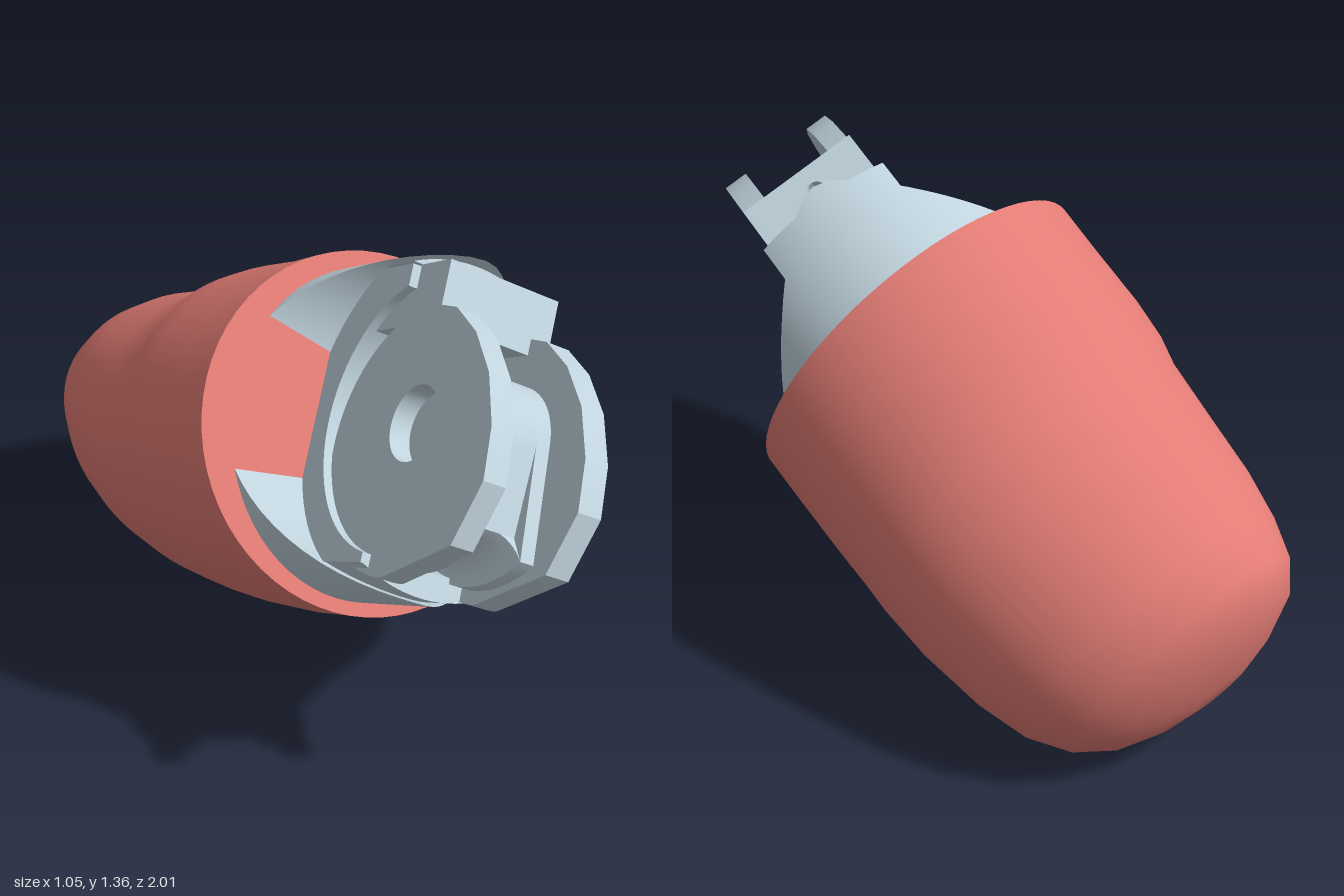
import * as THREE from 'three';
import { toCreasedNormals } from 'three/addons/utils/BufferGeometryUtils.js';

const red = new THREE.MeshStandardMaterial({ color: 0xe27c75 });
red.name = 'coral shell';
const grey = new THREE.MeshStandardMaterial({ color: 0xc0d3dd, side: THREE.DoubleSide });
grey.name = 'pale blue grey';

const X = new THREE.Vector3(1, 0, 0), Y = new THREE.Vector3(0, 1, 0), Z = new THREE.Vector3(0, 0, 1);
const basis = (a, b, c) => new THREE.Matrix4().makeBasis(a, b, c);

function add(parent, name, geometry, material) {
  const mesh = new THREE.Mesh(geometry, material);
  mesh.name = name;
  parent.add(mesh);
  return mesh;
}

// Skin a list of closed rings, each an array of [x, y, z]
function loft(rings) {
  const n = rings[0].length, index = [];
  for (let i = 0; i < rings.length - 1; i++) {
    for (let j = 0; j < n; j++) {
      const a = i * n + j, b = i * n + (j + 1) % n;
      index.push(a, a + n, b, b, a + n, b + n);
    }
  }
  const geo = new THREE.BufferGeometry();
  geo.setAttribute('position', new THREE.Float32BufferAttribute(rings.flat(2), 3));
  geo.setIndex(index);
  geo.computeVertexNormals();
  return geo;
}

// Extrude a (height, forward) outline across the hinge axis
function across(shape, from, to) {
  const geo = new THREE.ExtrudeGeometry(shape, { depth: to - from, bevelEnabled: false, curveSegments: 32 });
  geo.translate(0, 0, from);
  geo.applyMatrix4(basis(Y, Z, X));
  return toCreasedNormals(geo, 0.4);
}

function hole(shape, x, y, r) {
  shape.holes.push(new THREE.Path().absarc(x, y, r, 0, Math.PI * 2, true));
  return shape;
}

// Fingertip shell: depth, left, right, top, bottom, lean
const sections = [
  [0, -0.53, 0.505, 0.497, -0.494, -0.1],
  [0.15, -0.52, 0.51, 0.487, -0.496, -0.1],
  [0.34, -0.5, 0.52, 0.485, -0.49, -0.1],
  [0.46, -0.48, 0.525, 0.475, -0.48, -0.1],
  [0.54, -0.46, 0.525, 0.45, -0.475, -0.11],
  [0.7, -0.43, 0.525, 0.436, -0.452, -0.12],
  [0.9, -0.375, 0.51, 0.437, -0.408, -0.13],
  [1.04, -0.32, 0.475, 0.421, -0.36, -0.16],
  [1.145, -0.26, 0.41, 0.381, -0.287, -0.24],
  [1.21, -0.2, 0.32, 0.318, -0.22, -0.3],
  [1.25, -0.13, 0.21, 0.19, -0.14, -0.3],
  [1.268, -0.06, 0.1, 0.08, -0.06, -0.3],
  [1.27, 0.01, 0.01, 0.02, 0.02, 0],
];

function sectionRing([s, left, right, top, bottom, lean], count = 64) {
  return Array.from({ length: count }, (_, j) => {
    const t = j / count * Math.PI * 2;
    return [
      (left + right) / 2 + (right - left) / 2 * Math.cos(t - lean),
      (top + bottom) / 2 + (top - bottom) / 2 * Math.sin(t), -s];
  });
}

export function createModel() {
  const model = new THREE.Group();
  model.name = 'fingertipJoint';
  const finger = new THREE.Group();
  finger.name = 'finger';
  finger.position.set(0, 0.79, 0.225);
  finger.rotation.x = -0.47;
  model.add(finger);

  add(finger, 'fingertipShell', loft(sections.map((s) => sectionRing(s))), red);
  const rim = new THREE.Shape(sectionRing(sections[0]).map(([x, y]) => new THREE.Vector2(x, y)));
  add(finger, 'rimFace', new THREE.ShapeGeometry(rim), red);

  // Core: x along the hinge axis, y across, z forward
  const core = new THREE.Group();
  core.name = 'hingeCore';
  core.rotation.order = 'ZYX';
  core.rotation.set(0, -0.07, -0.64);
  core.position.set(0, -0.01, 0);
  finger.add(core);
  const pivot = 0.432, drop = -0.035;

  // Crescent collars left by the round clearance cut
  const collar = [];
  for (let i = 0; i <= 14; i++) {
    const q = 0.13 + 0.31 * Math.sin(i / 14 * Math.PI / 2);
    const p = Math.sqrt(Math.max(0, 0.44 ** 2 - q * q));
    const h = 0.427 - Math.sqrt(0.446 ** 2 - q * q);
    collar.push([[-p, q, -0.05], [p, q, -0.05], [p, q, h], [-p, q, h]]);
  }
  for (const turn of [0, Math.PI]) {
    const mesh = add(core, 'collar', toCreasedNormals(loft(collar), 0.6), grey);
    mesh.rotation.z = turn;
    mesh.position.x = -0.018;
  }

  // U-shaped yoke around the hinge
  const r = 0.35, mid = -0.015, topW = 0.32, lowW = 0.37;
  const yoke = new THREE.Shape();
  yoke.moveTo(-0.385, -0.03);
  yoke.lineTo(0.375, -0.03);
  yoke.lineTo(0.375, topW);
  yoke.absarc(mid, pivot, r, Math.asin((topW - pivot) / r), -Math.PI - Math.asin((lowW - pivot) / r), true);
  yoke.lineTo(-0.385, lowW);
  add(core, 'yoke', across(yoke, -0.205, 0.185), grey);

  // Rounded outer faces of the yoke, following the bore
  const half = Math.asin(0.195 / 0.428);
  for (const [turn, reach] of [[0, topW], [Math.PI, lowW]]) {
    const bow = new THREE.Shape().absarc(0, 0, 0.428, Math.PI / 2 - half, Math.PI / 2 + half, false);
    const geo = new THREE.ExtrudeGeometry(bow, { depth: reach, bevelEnabled: false, curveSegments: 16 });
    const mesh = add(core, 'yokeBow', toCreasedNormals(geo, 0.4), grey);
    mesh.rotation.z = turn;
    mesh.position.x = -0.01;
  }

  // Stop tab with a small pin hole
  const tab = new THREE.Shape();
  tab.moveTo(0, -0.18);
  tab.lineTo(0.445, -0.18);
  tab.lineTo(0.445, 0.16);
  tab.lineTo(0, 0.16);
  hole(tab, 0.37, -0.02, 0.026);
  const tabGeo = new THREE.ExtrudeGeometry(tab, { depth: 0.16, bevelEnabled: false });
  tabGeo.translate(0, 0, 0.22);
  tabGeo.applyMatrix4(basis(Z, X, Y));
  add(core, 'stopTab', toCreasedNormals(tabGeo, 0.4), grey);

  // Hinge discs, round at the back and faceted at the front
  const disc = new THREE.Shape();
  disc.absarc(drop - 0.04, pivot, 0.34, Math.PI, Math.PI * 2, false);
  for (const [q, w] of [[0.285, 0.08], [0.215, 0.18], [0.11, 0.265], [-0.02, 0.318], [-0.15, 0.33], [-0.3, 0.255]]) {
    disc.lineTo(drop + q, pivot + w);
  }
  hole(disc, drop, pivot, 0.097);
  add(core, 'leftDisc', across(disc, 0.1, 0.17), grey);
  add(core, 'rightDisc', across(disc, -0.18, -0.115), grey);

  // Hollow drum between the discs, drawn out flat towards the cord guide
  const drumR = 0.175, edgeR = 0.345, edge = Math.PI * 0.8;
  const drumShape = (reach) => {
    const tangent = Math.acos(drumR / reach);
    const shape = new THREE.Shape();
    shape.absarc(drop, pivot, drumR, edge + tangent, edge - tangent + Math.PI * 2, false);
    shape.lineTo(drop + reach * Math.cos(edge), pivot + reach * Math.sin(edge));
    return hole(shape, drop, pivot, 0.097);
  };
  add(core, 'drumLeft', across(drumShape(edgeR), 0.06, 0.105), grey);
  add(core, 'drumMiddle', across(drumShape(0.275), -0.075, 0.06), grey);
  add(core, 'drumRight', across(drumShape(edgeR), -0.12, -0.075), grey);
  const web = add(core, 'web', new THREE.BoxGeometry(0.22, 0.26, 0.3), grey);
  web.position.set(-0.008, drop, 0.15);

  // Cord guide: part of a wheel with a round groove
  const profile = [[0.15, -0.112], [edgeR, -0.112]];
  for (let i = 0; i <= 10; i++) {
    const a = i / 10 * Math.PI;
    profile.push([edgeR - 0.075 * Math.sin(a), -0.068 * Math.cos(a)]);
  }
  profile.push([edgeR, 0.112], [0.15, 0.112]);
  const points = profile.map(([x, y]) => new THREE.Vector2(x, y));
  const start = edge - Math.PI / 2, sweep = 1.4;
  const guide = new THREE.Group();
  guide.name = 'cordGuide';
  guide.position.set(-0.008, drop, pivot);
  core.add(guide);
  const frame = basis(Y.clone().negate(), X, Z);
  const wheel = new THREE.LatheGeometry([...points, points[0]], 20, start, sweep);
  wheel.applyMatrix4(frame);
  add(guide, 'groovedWheel', toCreasedNormals(wheel, 0.5), grey);
  for (const a of [start, start + sweep]) {
    const cap = new THREE.ShapeGeometry(new THREE.Shape(points));
    cap.rotateY(a - Math.PI / 2);
    cap.applyMatrix4(frame);
    add(guide, 'guideEnd', cap, grey);
  }
  return model;
}
